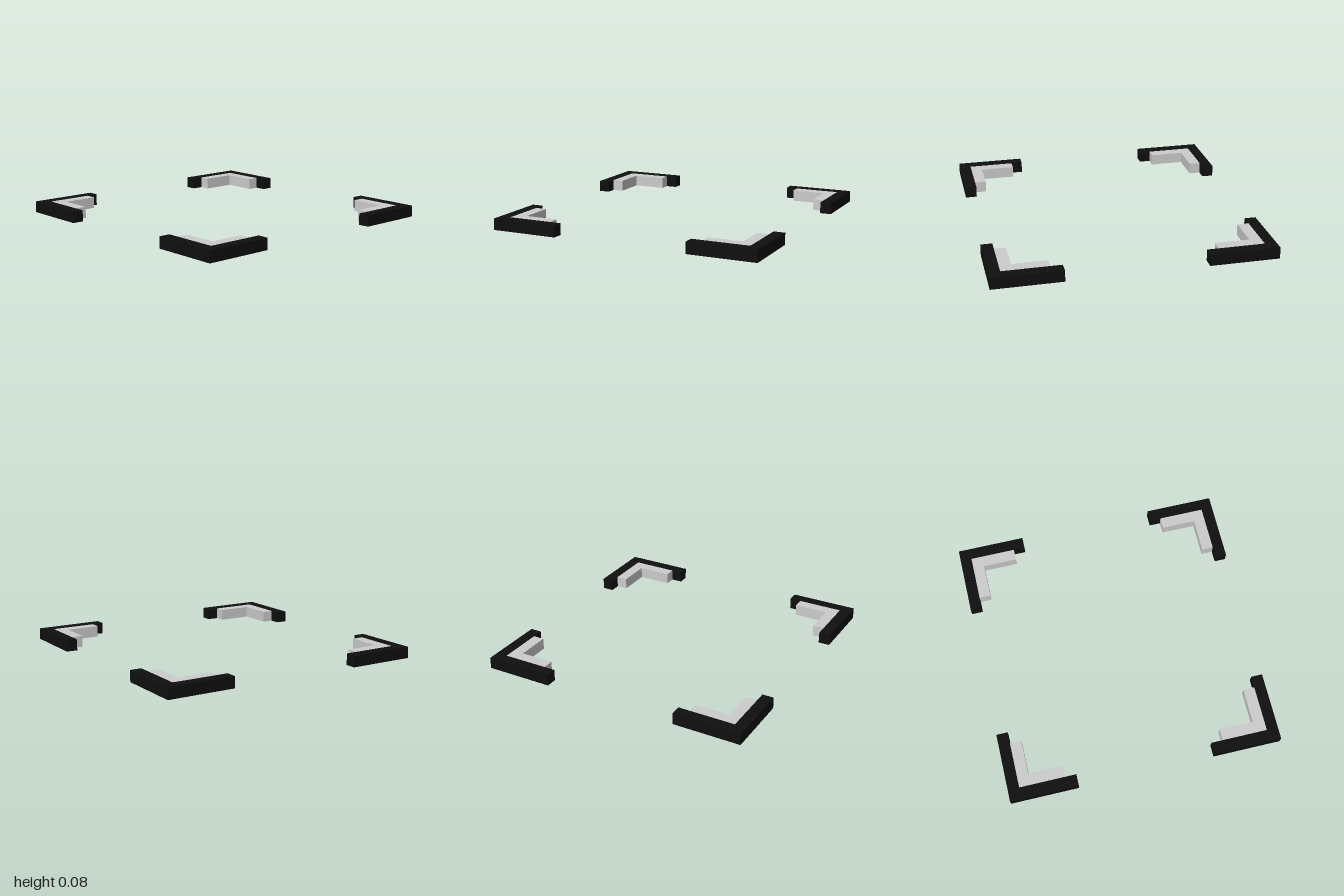
import * as THREE from 'three';

const T = 1 / 12; // bar thickness and height

// L-shaped bar: outer corner at (outer, outer), arms reaching back to end
function angleBar(outer, end) {
  const inner = outer - T;
  const shape = new THREE.Shape([
    [end, outer], [end, inner], [inner, inner], [inner, end], [outer, end], [outer, outer],
  ].map(([x, y]) => new THREE.Vector2(x, y)));
  const geometry = new THREE.ExtrudeGeometry(shape, { depth: T, bevelEnabled: false });
  return geometry.rotateX(-Math.PI / 2);
}

export function createModel() {
  const black = new THREE.MeshStandardMaterial({ color: 0x0f0f0f });
  black.name = 'black';
  const lightGrey = new THREE.MeshStandardMaterial({ color: 0xcccccc });
  lightGrey.name = 'light grey';

  const outerGeometry = angleBar(1, 0.5);
  const innerGeometry = angleBar(1 - T, 0.5 + T);

  const model = new THREE.Group();
  model.name = 'cornerBrackets';

  // Four identical corners, a quarter turn apart
  const names = ['backLeft', 'backRight', 'frontRight', 'frontLeft'];
  names.forEach((name, i) => {
    const corner = new THREE.Group();
    corner.name = name + 'Corner';

    const outer = new THREE.Mesh(outerGeometry, black);
    outer.name = 'outerBracket';
    const inner = new THREE.Mesh(innerGeometry, lightGrey);
    inner.name = 'innerBracket';

    corner.add(outer, inner);
    corner.rotation.y = i * Math.PI / 2;
    model.add(corner);
  });
  return model;
}
